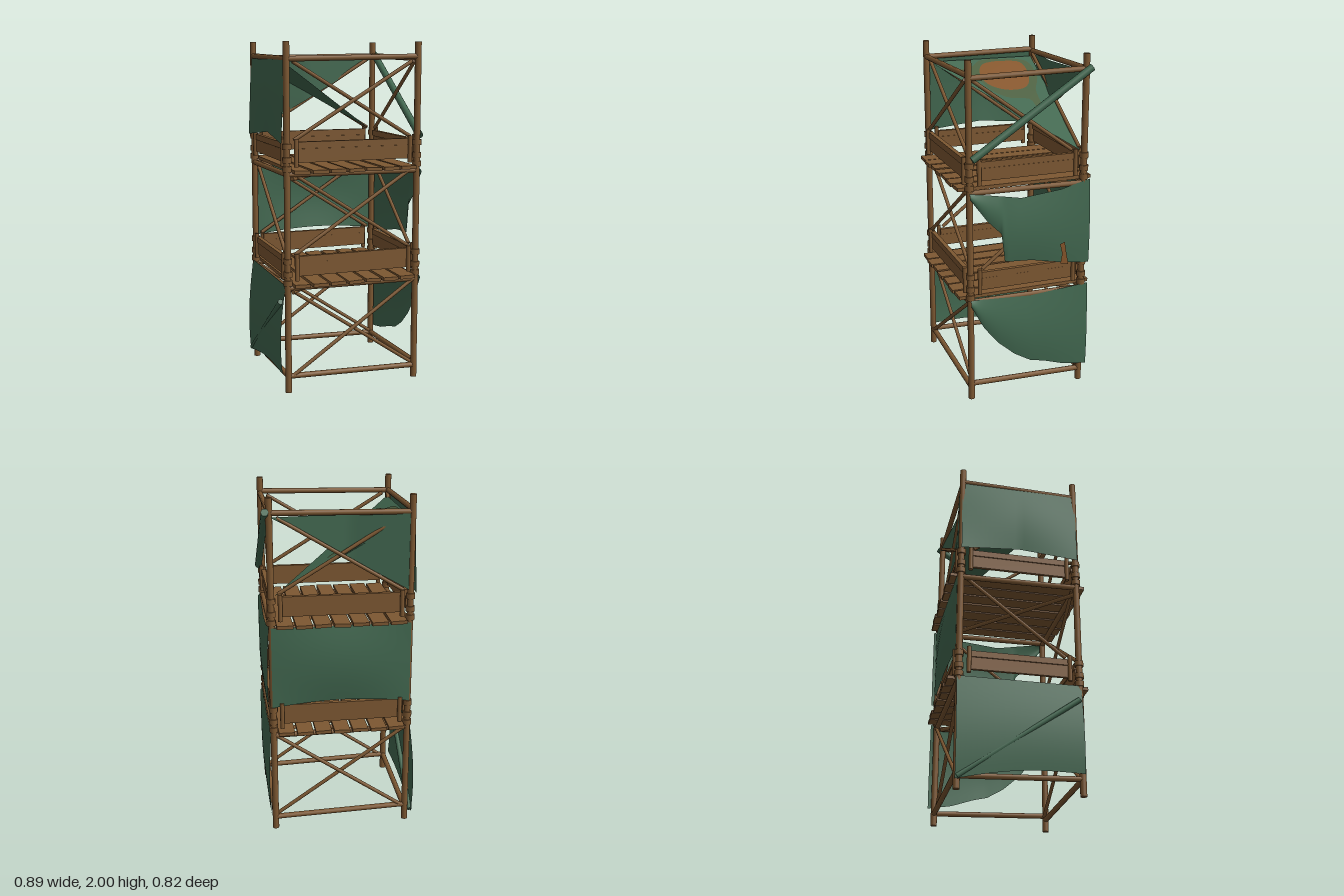
import * as THREE from 'three';

const mat = (name, color, side = THREE.FrontSide) => {
  const m = new THREE.MeshStandardMaterial({ color, side });
  m.name = name;
  return m;
};

export function createModel() {
  const model = new THREE.Group();
  model.name = 'scaffoldTower';
  const wood = mat('wood', 0x7d5832);
  const cloth = mat('greenCloth', 0x426850, THREE.DoubleSide);
  const stain = mat('brownStain', 0x85552a, THREE.DoubleSide);
  const faded = mat('fadedStain', 0x4c6040, THREE.DoubleSide);
  const V = (x, y, z) => new THREE.Vector3(x, y, z);
  const X = 0.395, Z = 0.345;

  const add = (name, geo, m, pos) => {
    const mesh = new THREE.Mesh(geo, m);
    mesh.name = name;
    if (pos) mesh.position.set(...pos);
    model.add(mesh);
    return mesh;
  };
  // Round pole between two points
  const rod = (name, a, b, r, m = wood, sides = 10) => {
    const d = b.clone().sub(a);
    const mesh = add(name, new THREE.CylinderGeometry(r, r, d.length(), sides), m);
    mesh.position.copy(a).add(b).multiplyScalar(0.5);
    mesh.quaternion.setFromUnitVectors(V(0, 1, 0), d.normalize());
    return mesh;
  };
  // Cloth surface from a rule (u, v) -> point, v = 0 at the top
  const sheet = (name, f, m = cloth, nu = 24, nv = 12) => {
    const g = new THREE.PlaneGeometry(1, 1, nu, nv);
    const p = g.attributes.position;
    for (let i = 0; i < p.count; i++) {
      const q = f(p.getX(i) + 0.5, 0.5 - p.getY(i));
      p.setXYZ(i, q.x, q.y, q.z);
    }
    g.computeVertexNormals();
    return add(name, g, m);
  };
  // Linear interpolation through [t, value] pairs
  const lerpTable = (pts, t) => {
    for (let i = 1; i < pts.length; i++) {
      const [a, va] = pts[i - 1], [b, vb] = pts[i];
      if (t <= b) return va + (vb - va) * Math.max(0, (t - a) / (b - a));
    }
    return pts[pts.length - 1][1];
  };
  const bow = (u, v) => Math.sin(Math.PI * u) * Math.sin(Math.PI * v);

  // Corner posts with lashings beside each platform
  for (const sx of [-1, 1]) for (const sz of [-1, 1]) {
    rod('cornerPost', V(sx * X, 0, sz * Z), V(sx * X, 2, sz * Z), 0.019, wood, 12);
    for (const y of [0.65, 0.7, 0.775, 1.3, 1.35, 1.425])
      add('lashing', new THREE.CylinderGeometry(0.026, 0.026, 0.032, 12), wood, [sx * X, y, sz * Z]);
  }

  // Horizontal rails on all four sides, slightly crooked
  [0.085, 0.615, 1.265, 1.91].forEach((y, i) => {
    const t = i === 0 ? 0.012 : i === 3 ? -0.006 : 0.004;
    for (const s of [-1, 1]) {
      rod('longRail', V(-X, y + t, s * Z), V(X, y - t, s * Z), 0.016);
      rod('sideRail', V(s * X, y + t, Z), V(s * X, y - t, -Z), 0.016);
    }
  });

  // Crossed braces front and back, single braces on the sides
  for (const [lo, hi] of [[0.09, 0.61], [0.81, 1.27], [1.46, 1.89]]) {
    const w = lo < 0.5 ? 0.38 : 0.355;
    for (const s of [-1, 1]) {
      rod('crossBrace', V(-w, hi, s * (Z - 0.012)), V(w, lo, s * (Z - 0.012)), 0.011);
      rod('crossBrace', V(w, hi, s * (Z + 0.004)), V(-w, lo, s * (Z + 0.004)), 0.011);
      if (lo > 0.5) {
        const k = lo > 1 ? 1 : -1;
        rod('sideBrace', V(s * (X - 0.01), hi, k * 0.32), V(s * (X - 0.01), lo, -k * 0.27), 0.011);
      }
    }
  }

  // Two plank platforms with toe boards
  for (const y of [0.637, 1.285]) {
    for (let i = -3; i <= 3; i++) {
      const len = 0.815 + (i % 2 ? -0.008 : 0.006);
      const plank = add('plank', new THREE.BoxGeometry(0.093, 0.02, len), wood, [i * 0.1075, y, 0]);
      plank.rotation.z = (((i + 3) * 5) % 4 - 1.5) * 0.025;
    }
    rod('platformBrace', V(-0.37, y - 0.04, 0.36), V(0.37, y - 0.04, -0.32), 0.012);
    for (const s of [-1, 1]) {
      const z = s * 0.345, x = s * 0.39;
      add('lowerToeBoard', new THREE.BoxGeometry(0.69, 0.078, 0.018), wood, [0, y + 0.087, z]);
      add('upperToeBoard', new THREE.BoxGeometry(0.69, 0.038, 0.026), wood, [0, y + 0.146, z]);
      add('lowerToeBoard', new THREE.BoxGeometry(0.018, 0.072, 0.57), wood, [x, y + 0.084, 0]);
      add('upperToeBoard', new THREE.BoxGeometry(0.026, 0.036, 0.57), wood, [x, y + 0.14, 0]);
      for (const e of [-1, 1]) {
        rod('boardStake', V(e * 0.345, y + 0.025, z + s * 0.016), V(e * 0.345, y + 0.18, z + s * 0.016), 0.013);
        rod('boardStake', V(x + s * 0.012, y + 0.025, e * 0.29), V(x + s * 0.012, y + 0.18, e * 0.29), 0.013);
      }
    }
  }

  // Hanging cloths on the left (+x) side: ragged lower edges
  const leftCloth = (name, top, bottom, flare) => sheet(name, (u, v) => {
    const t = lerpTable(top, u), b = lerpTable(bottom, u);
    const x = 0.413 + flare * Math.sin(Math.PI * Math.min(1, v * 0.8)) * (0.5 + 0.5 * Math.sin(Math.PI * u));
    return V(x, t + (b - t) * v, 0.35 - 0.73 * u);
  }, cloth, 36, 12);
  leftCloth('lowerLeftCloth', [[0, 0.635], [0.5, 0.612], [1, 0.64]],
    [[0, 0.6], [0.1, 0.46], [0.22, 0.35], [0.36, 0.26], [0.5, 0.2], [0.62, 0.18], [0.8, 0.135], [1, 0.11]], 0.028);
  leftCloth('middleLeftCloth', [[0, 1.27], [0.2, 1.245], [0.42, 1.215], [0.75, 1.24], [1, 1.285]],
    [[0, 1.24], [0.14, 1.1], [0.25, 1.02], [0.278, 0.85], [0.5, 0.84], [0.75, 0.8], [1, 0.775]], 0.026);
  // Small stain hanging at the lower edge of the middle cloth
  const patch = new THREE.Shape([[0.19, 0.8], [0.24, 0.79], [0.225, 0.87], [0.215, 0.93], [0.185, 0.92], [0.2, 0.86]]
    .map(([a, b]) => new THREE.Vector2(a, b)));
  add('clothStain', new THREE.ShapeGeometry(patch), stain, [0.444, 0, 0]).rotation.y = Math.PI / 2;

  // Rolled cloth lashed diagonally across the top left side
  rod('rolledCloth', V(0.418, 1.46, 0.335), V(0.418, 1.925, -0.37), 0.021, cloth, 12);

  // Full cloths on the right (-x) side
  sheet('upperRightCloth', (u, v) =>
    V(-0.408 - 0.012 * bow(u, v) - 0.02 * v * Math.abs(2 * u - 1), 1.9 - v * (0.42 + 0.04 * Math.abs(2 * u - 1)), -0.35 + 0.7 * u));
  sheet('lowerRightCloth', (u, v) =>
    V(-0.41 - 0.032 * Math.sin(Math.PI * v * 0.75), 0.635 - v * (0.52 + 0.07 * (1 - u) - 0.03 * bow(u, 0.5)), -0.36 + 0.71 * u));
  rod('clothFold', V(-0.435, 0.54, 0.33), V(-0.425, 0.06, -0.35), 0.016, cloth);

  // Back cloths: a full one in the middle, a folded triangle on top
  sheet('middleBackCloth', (u, v) =>
    V(0.4 - 0.8 * u, 1.272 - v * (0.48 - 0.03 * Math.sin(Math.PI * u)), -0.366 - 0.024 * bow(u, v)));
  sheet('upperBackCloth', (u, v) => {
    const x = 0.39 - 0.77 * u;
    const inward = 0.045 * Math.min(u / 0.57, (1 - u) / 0.43);
    return V(x, 1.895 - v * 0.43 * u, -0.362 + inward);
  });

  // Sloping triangular tarp inside the top storey, with flat stains on it
  const slope = (x) => 1.87 - 0.56 * (x + 0.38);
  const tarpShape = (name, pts, m, lift, smooth) => {
    const p = pts.map(([x, z]) => new THREE.Vector2(x, -z));
    const outline = smooth
      ? new THREE.SplineCurve([...p, p[0]]).getPoints(48).slice(0, -1) : p;
    const g = new THREE.ShapeGeometry(new THREE.Shape(outline));
    const q = g.attributes.position;
    for (let i = 0; i < q.count; i++) {
      const x = q.getX(i), z = -q.getY(i);
      q.setXYZ(i, x, slope(x) + lift, z);
    }
    g.computeVertexNormals();
    add(name, g, m);
  };
  tarpShape('tarp', [[-0.385, -0.33], [0.375, -0.33], [-0.385, 0.325]], cloth, 0, false);
  tarpShape('tarpFadedStain', [[-0.365, -0.2], [-0.33, -0.29], [-0.2, -0.3], [-0.1, -0.25], [0, -0.24], [0.06, -0.22],
    [0.04, -0.2], [-0.03, -0.18], [-0.05, -0.06], [-0.12, 0.03], [-0.22, 0.08], [-0.29, 0.17], [-0.32, 0.08], [-0.37, 0]], faded, 0.004, true);
  tarpShape('tarpStain', [[-0.345, -0.15], [-0.33, -0.23], [-0.26, -0.255], [-0.16, -0.23], [-0.11, -0.17],
    [-0.11, -0.06], [-0.16, 0.03], [-0.24, 0.055], [-0.32, 0.02], [-0.345, -0.06]], stain, 0.008, true);

  return model;
}
